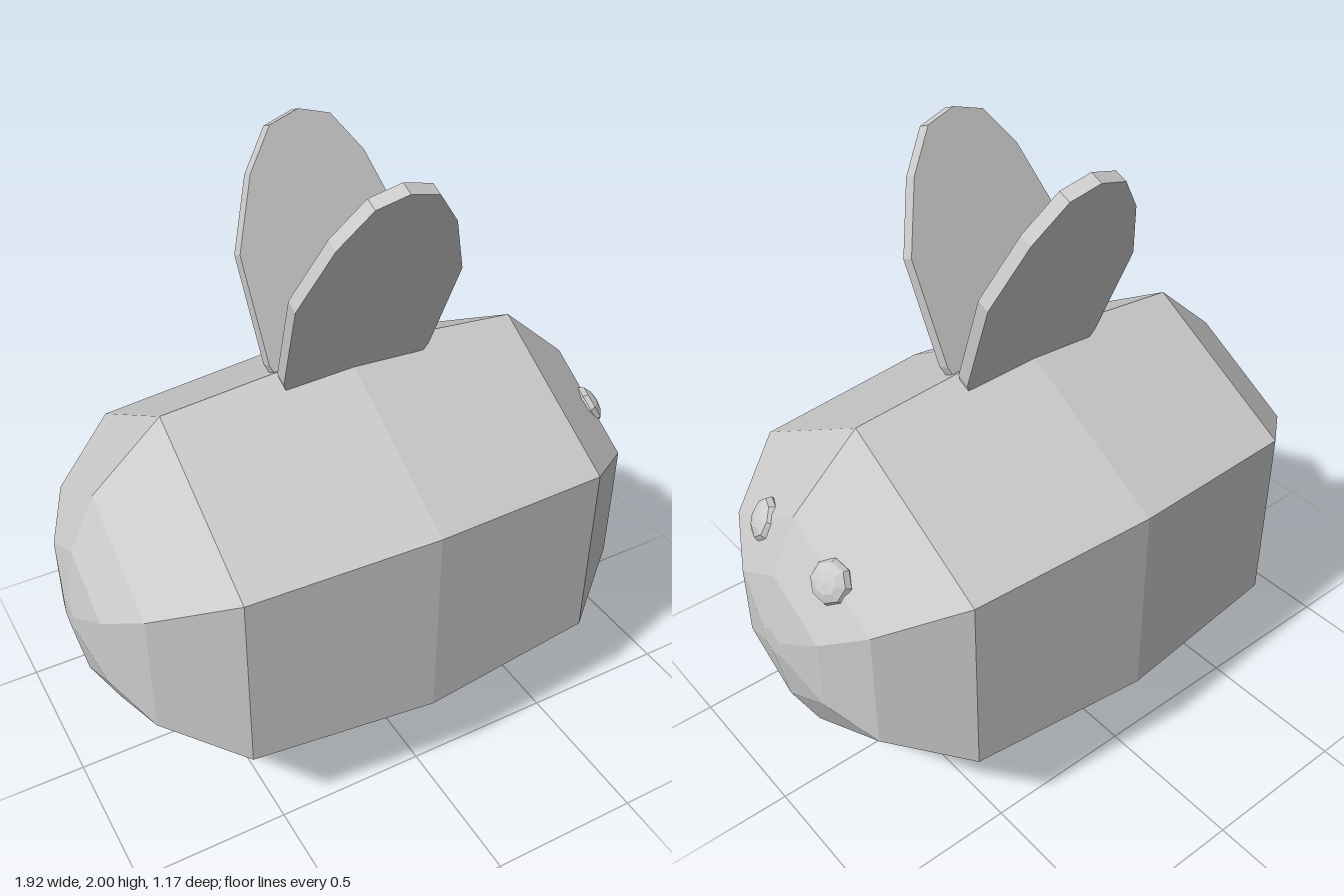
import * as THREE from 'three';

const material = new THREE.MeshStandardMaterial({ color: 0xcccccc, flatShading: true });

function part(name, geometry, parent) {
  const mesh = new THREE.Mesh(geometry, material);
  mesh.name = name;
  parent.add(mesh);
  return mesh;
}

export function createModel() {
  const model = new THREE.Group();
  model.name = 'bee';

  // Six-sided barrel body lying along x, with ridges at top and bottom
  const half = [[0.61, 0.62], [0.84, 0.415], [0.925, 0.24], [0.96, 0.05], [0.96, 0]];
  const profile = [
    ...half.map(([x, r]) => new THREE.Vector2(r, -x)).reverse(),
    new THREE.Vector2(0.675, 0),
    ...half.map(([x, r]) => new THREE.Vector2(r, x)),
  ];
  const body = part('body', new THREE.LatheGeometry(profile, 6, Math.PI / 2), model);
  body.rotation.z = -Math.PI / 2;
  body.position.y = 0.675;

  // Wing outline, rounded at the tip and slightly narrower at the root
  const side = [[0.24, 0], [0.252, 0.03], [0.272, 0.37], [0.19, 0.59], [0.1, 0.715]];
  const outline = new THREE.Shape([
    ...side.map(([x, y]) => new THREE.Vector2(x, y)),
    new THREE.Vector2(0, 0.745),
    ...side.map(([x, y]) => new THREE.Vector2(-x, y)).reverse(),
  ]);
  const thickness = 0.045;
  const wingGeometry = new THREE.ExtrudeGeometry(outline, { depth: thickness, bevelEnabled: false });
  wingGeometry.translate(0, 0, -thickness / 2);

  // Flattened eye, its thin axis along local z
  const eyeGeometry = new THREE.SphereGeometry(0.07, 8, 6);
  eyeGeometry.rotateX(Math.PI / 2);
  eyeGeometry.scale(1, 1, 0.5);

  // One wing and one eye on each side of the ridge; the head is at +x
  for (const s of [1, -1]) {
    const label = s > 0 ? 'front' : 'back';
    const wing = part(label + 'Wing', wingGeometry, model);
    wing.position.set(0.01, 1.305, s * 0.036);
    wing.rotation.x = s * 0.388;

    const eye = part(label + 'Eye', eyeGeometry, model);
    eye.position.set(0.84, 0.97, s * 0.18);
    eye.quaternion.setFromUnitVectors(
      new THREE.Vector3(0, 0, 1),
      new THREE.Vector3(0.82, 0.5, s * 0.29).normalize(),
    );
  }
  return model;
}
